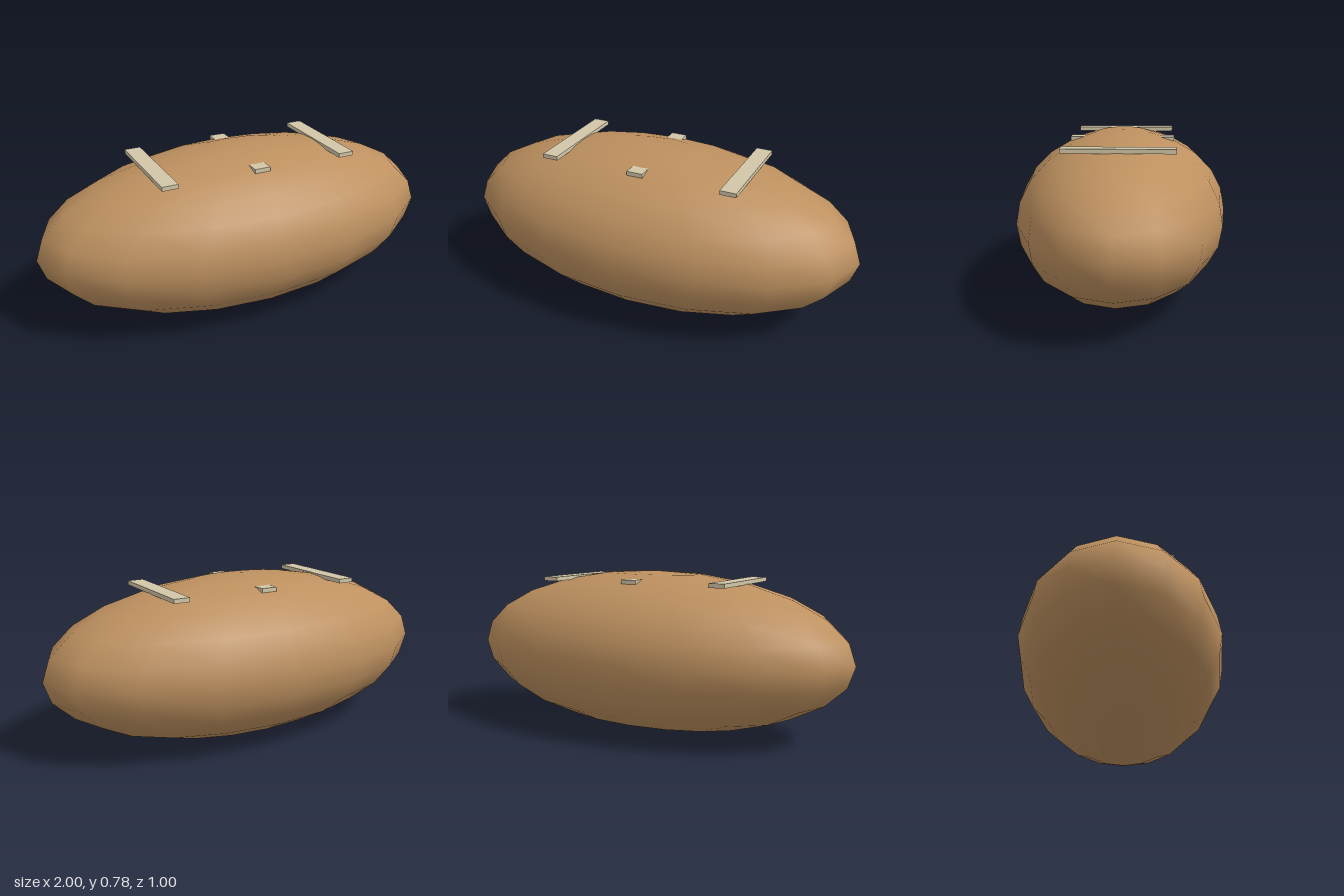
import * as THREE from 'three';

export function createModel() {
  const model = new THREE.Group();
  const hullMaterial = new THREE.MeshStandardMaterial({ color: 0xbd905f });
  const slatMaterial = new THREE.MeshStandardMaterial({ color: 0xd2c6a8 });

  // Long smooth hull: a coarse sphere stretched along x
  const hull = new THREE.Mesh(new THREE.SphereGeometry(1, 16, 12), hullMaterial);
  hull.name = 'hull';
  hull.scale.set(1, 0.388, 0.5);
  hull.position.y = 0.388;
  model.add(hull);

  // Three cross slats; the middle one is mostly sunk into the hull
  const slatGeometry = new THREE.BoxGeometry(0.077, 0.02, 0.5);
  [['rightSlat', -0.446], ['middleSlat', 0], ['leftSlat', 0.446]].forEach(([name, x]) => {
    const slat = new THREE.Mesh(slatGeometry, slatMaterial);
    slat.name = name;
    slat.position.set(x, 0.734, 0);
    model.add(slat);
  });

  return model;
}
